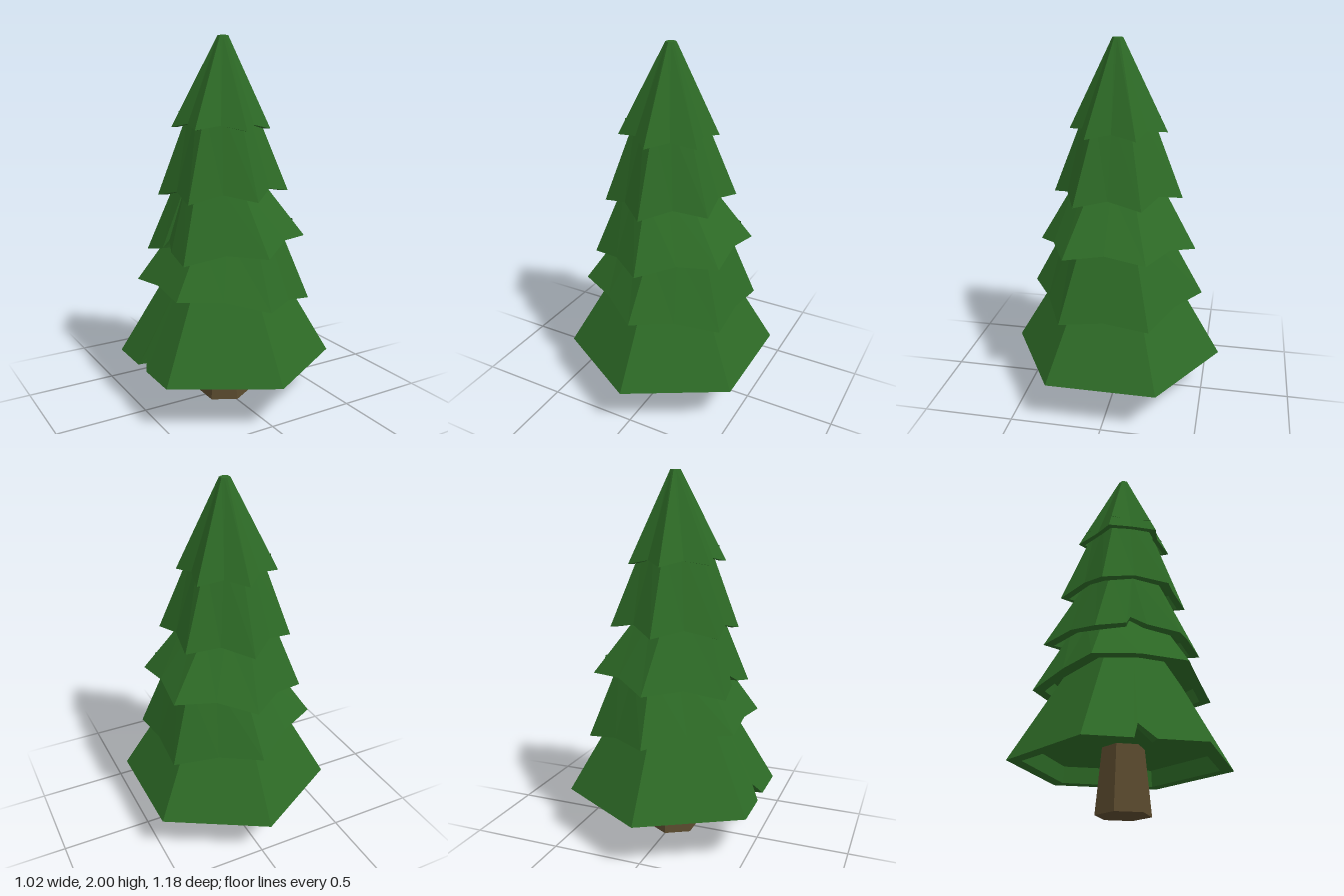
import * as THREE from 'three';

const bark = new THREE.MeshStandardMaterial({ color: 0x5a4a2e, flatShading: true });
const needles = new THREE.MeshStandardMaterial({ color: 0x2d6a26, flatShading: true });

// Skins a stack of closed rings (top to bottom) with flat-shaded faces.
function loft(rings) {
  const pos = [];
  const tri = (...pts) => pts.forEach((p) => pos.push(...p));
  for (let i = 0; i < rings.length - 1; i++) {
    const n = rings[i].length;
    for (let j = 0; j < n; j++) {
      const k = (j + 1) % n;
      const [tl, tr, bl, br] = [rings[i][j], rings[i][k], rings[i + 1][j], rings[i + 1][k]];
      tri(tl, bl, br);
      tri(tl, br, tr);
    }
  }
  const geo = new THREE.BufferGeometry();
  geo.setAttribute('position', new THREE.Float32BufferAttribute(pos, 3));
  geo.computeVertexNormals();
  return geo;
}

// One hollow skirt of branches: hexagonal, with the middle of each hem lifted and
// pulled in, the whole hem tilted sideways, and optionally a notch on the -x side.
function tier({ y, r, cx = 0, tilt = 0, lift = 0, pull = 0, topY, topR, topX = 0, depth = 0.06, notch }) {
  const hem = [], top = [];
  const add = (a, radius, topRadius, z, inset = 0, rise = 0) => {
    const x = Math.sin(a) * radius + inset;
    hem.push([cx + x, y + tilt * x + rise, z ?? Math.cos(a) * radius]);
    top.push([topX + Math.sin(a) * topRadius, topY, Math.cos(a) * topRadius]);
  };
  for (let k = 0; k < 12; k++) {
    const a = (k * Math.PI) / 6;
    if (k % 2 === 0) {
      add(a, r, topR);
      continue;
    }
    const mid = r * 0.866 - pull, topMid = topR * 0.866;
    if (k === 9 && notch) {
      add(a, mid, topMid, -0.055, 0, lift);
      add(a, mid, topMid, -0.03, notch[0], lift + notch[1]);
      add(a, mid, topMid, 0.05, 0, lift);
    } else add(a, mid, topMid, undefined, 0, lift);
  }
  const inner = (s, f) => hem.map(([px, py, pz]) => [cx + (px - cx) * s, f(px, py), pz * s]);
  const ceiling = (px) => y + lift + depth + tilt * (px - cx);
  return loft([
    top.map(() => [topX, topY, 0]),
    top,
    hem,
    inner(0.87, (px, py) => py),
    inner(0.85, ceiling),
    hem.map(() => [cx, y + lift + depth, 0]),
  ]);
}

const TIERS = [
  { y: 0.25, r: 0.59, topY: 0.74, topR: 0.3, depth: 0.09, notch: [0.04, 0.08] },
  { y: 0.62, r: 0.48, cx: -0.005, tilt: -0.135, lift: 0.025, pull: 0.012, topY: 0.97, topR: 0.29, topX: 0.02 },
  { y: 0.887, r: 0.435, cx: 0.01, tilt: 0.1, lift: 0.035, pull: 0.015, topY: 1.24, topR: 0.23, topX: -0.035, notch: [0.03, 0.045] },
  { y: 1.168, r: 0.355, cx: -0.008, tilt: 0.04, lift: 0.04, pull: 0.025, topY: 1.62, topR: 0.177, topX: -0.013 },
  { y: 1.52, r: 0.265, cx: -0.02, tilt: -0.02, lift: 0.025, pull: 0.03, topY: 2, topR: 0.028, topX: -0.008 },
];

export function createModel() {
  const tree = new THREE.Group();
  tree.name = 'pineTree';

  // Tapered six-sided trunk, reaching up into the lowest skirt
  const trunk = new THREE.Mesh(new THREE.CylinderGeometry(0.11, 0.145, 0.36, 6), bark);
  trunk.position.y = 0.18;
  trunk.name = 'trunk';
  tree.add(trunk);

  // Skirts of branches, lowest first
  TIERS.forEach((spec, i) => {
    const mesh = new THREE.Mesh(tier(spec), needles);
    mesh.name = `branchTier${i + 1}`;
    tree.add(mesh);
  });
  return tree;
}
